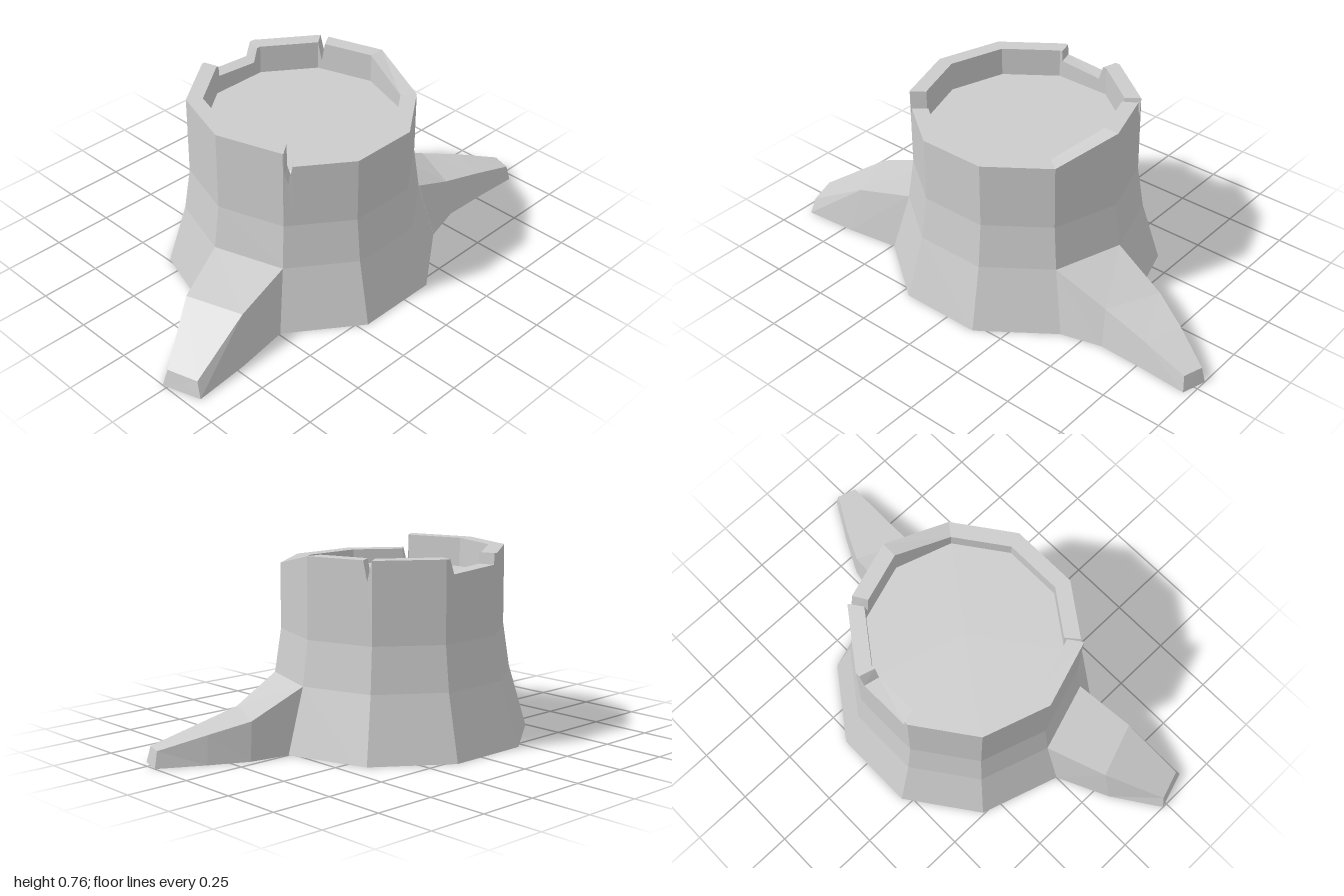
import * as THREE from 'three';

const SIDES = 10;
const CX = -0.04; // trunk axis
const material = new THREE.MeshStandardMaterial({ color: 0xcccccc, flatShading: true });

// Skins a list of equal-length point rows; wraps across rows and/or along each row
function skin(rows, { wrapRows = false, wrapPoints = false, flip = false }) {
  const pos = [];
  const tri = (a, b, c) => {
    const area = b.clone().sub(a).cross(c.clone().sub(a)).length();
    if (area < 1e-8) return;
    for (const p of flip ? [a, c, b] : [a, b, c]) pos.push(p.x, p.y, p.z);
  };
  const n = rows.length, m = rows[0].length;
  for (let i = 0; i < (wrapRows ? n : n - 1); i++) {
    for (let k = 0; k < (wrapPoints ? m : m - 1); k++) {
      const r = rows[i], s = rows[(i + 1) % n], k2 = (k + 1) % m;
      tri(r[k], r[k2], s[k2]);
      tri(r[k], s[k2], s[k]);
    }
  }
  const g = new THREE.BufferGeometry();
  g.setAttribute('position', new THREE.Float32BufferAttribute(pos, 3));
  g.computeVertexNormals();
  return g;
}

// Point on the ten-sided outline; t counts corners from +x toward +z
function outline(t, radius, y) {
  const corner = (k) => {
    const a = (k / SIDES) * Math.PI * 2;
    return new THREE.Vector3(Math.cos(a) * radius, y, Math.sin(a) * radius);
  };
  const k = Math.floor(t);
  return corner(k).lerp(corner(k + 1), t - k);
}

function add(group, name, geometry, x = 0, y = 0) {
  const mesh = new THREE.Mesh(geometry, material);
  mesh.name = name;
  mesh.position.set(x, y, 0);
  group.add(mesh);
}

export function createModel() {
  const group = new THREE.Group();
  group.name = 'treeStump';

  // Broken rim: position around the outline, height
  const rim = [
    [0, 0.765], [1, 0.705], [2, 0.705], [3, 0.705],
    [3.87, 0.705], [3.93, 0.63], [3.98, 0.67], [3.99, 0.765],
    [4, 0.765], [5, 0.765], [6, 0.765], [7, 0.765],
    [7.05, 0.765], [7.06, 0.72], [7.85, 0.705], [7.93, 0.765],
    [8, 0.765], [9, 0.765], [9.07, 0.685], [9.13, 0.765],
  ];
  const FLOOR = 0.645, INNER = 0.39;

  // Flared bark wall, rim and inside wall
  const columns = rim.map(([t, top]) => [
    outline(t, 0.56, 0),
    outline(t, 0.484, 0.26),
    outline(t, 0.457, 0.44),
    outline(t, 0.456, top),
    outline(t, INNER, top),
    outline(t, INNER, Math.min(FLOOR, top)),
  ]);
  add(group, 'trunk', skin(columns, { wrapRows: true }), CX);

  // Sunken cut surface and underside
  add(group, 'cutTop', new THREE.CircleGeometry(INNER, SIDES).rotateX(-Math.PI / 2), CX, FLOOR);
  add(group, 'underside', new THREE.CircleGeometry(0.56, SIDES).rotateX(Math.PI / 2), CX);

  // Roots: each section is back bottom, back top, front top, front bottom
  const root = (name, sections, flip) => {
    const rows = sections.map((s) => s.map((p) => new THREE.Vector3(...p)));
    const tip = rows[rows.length - 1];
    const mid = tip.reduce((sum, p) => sum.add(p), new THREE.Vector3()).multiplyScalar(1 / 4);
    rows.push(tip.map(() => mid));
    add(group, name, skin(rows, { wrapPoints: true, flip }));
  };
  root('leftRoot', [
    [[0.52, 0, 0], [0.444, 0.26, 0], [0.352, 0.26, 0.285], [0.413, 0, 0.33]],
    [[0.68, 0, 0.03], [0.67, 0.155, 0.035], [0.57, 0.16, 0.255], [0.58, 0, 0.285]],
    [[0.83, 0, 0.105], [0.82, 0.115, 0.11], [0.77, 0.112, 0.268], [0.78, 0, 0.29]],
    [[1, 0, 0.2], [0.985, 0.065, 0.205], [0.96, 0.065, 0.285], [0.97, 0, 0.3]],
  ], false);
  root('rightRoot', [
    [[-0.6, 0, 0], [-0.524, 0.26, 0], [-0.432, 0.26, 0.285], [-0.493, 0, 0.33]],
    [[-0.81, 0, 0.1], [-0.76, 0.21, 0.1], [-0.68, 0.205, 0.325], [-0.72, 0, 0.365]],
    [[-1, 0, 0.23], [-0.98, 0.07, 0.24], [-0.94, 0.065, 0.36], [-0.95, 0, 0.385]],
  ], true);

  return group;
}
